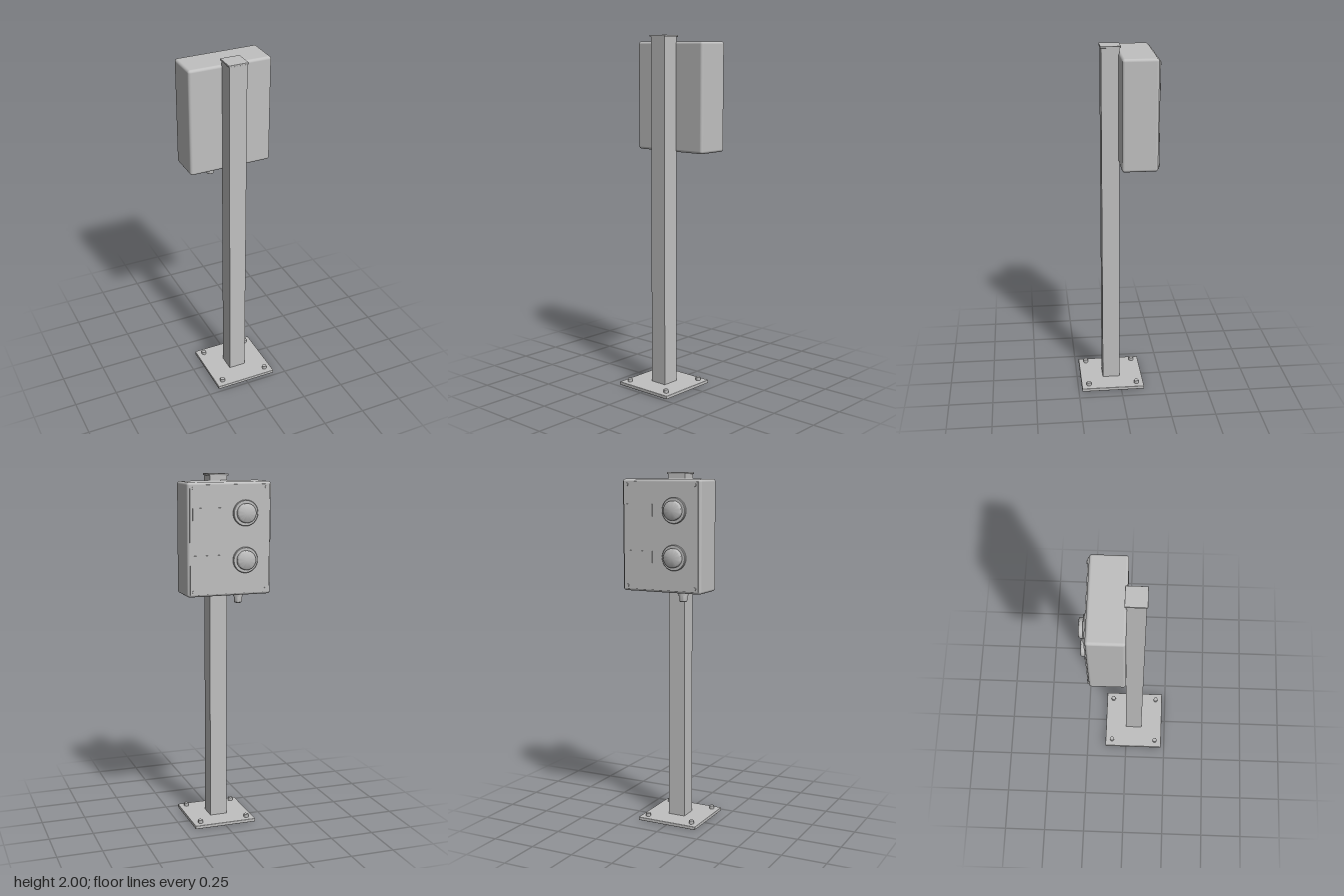
import * as THREE from 'three';
import { RoundedBoxGeometry } from 'three/addons/geometries/RoundedBoxGeometry.js';
import { toCreasedNormals } from 'three/addons/utils/BufferGeometryUtils.js';

export function createModel() {
  const model = new THREE.Group();
  const grey = new THREE.MeshStandardMaterial({ color: 0xc0c0c0 });
  grey.name = 'light grey';

  const add = (name, geometry, x, y, z) => {
    const mesh = new THREE.Mesh(geometry, grey);
    mesh.name = name;
    mesh.position.set(x, y, z);
    model.add(mesh);
    return mesh;
  };
  // Box given by its lower and upper limits, with optional rounded edges
  const block = (name, [x0, y0, z0], [x1, y1, z1], radius = 0) => {
    const size = [x1 - x0, y1 - y0, z1 - z0];
    const geometry = radius
      ? new RoundedBoxGeometry(...size, 4, radius)
      : new THREE.BoxGeometry(...size);
    return add(name, geometry, (x0 + x1) / 2, (y0 + y1) / 2, (z0 + z1) / 2);
  };
  const lathe = (points) => toCreasedNormals(
    new THREE.LatheGeometry(points.map(([r, y]) => new THREE.Vector2(r, y)), 40), 0.6);

  // Base plate with four hexagonal bolts
  block('basePlate', [-0.182, 0, -0.134], [0.182, 0.019, 0.23], 0.003);
  for (const x of [-0.14, 0.14]) {
    for (const z of [-0.092, 0.188]) {
      add('baseBolt', new THREE.CylinderGeometry(0.014, 0.014, 0.02, 6).toNonIndexed(), x, 0.028, z);
    }
  }

  // Square post and its cap
  block('post', [-0.05, 0.015, -0.002], [0.05, 1.992, 0.098]);
  block('postCap', [-0.056, 1.99, -0.009], [0.056, 2, 0.103], 0.002);

  // Enclosure mounted behind the post, with a thin cover
  block('enclosure', [-0.238, 1.355, -0.191], [0.238, 1.965, 0.004], 0.015);
  block('cover', [-0.225, 1.368, -0.197], [0.225, 1.952, -0.188]);

  // Cover screws
  for (const x of [-0.205, 0.205]) {
    for (const y of [1.385, 1.935]) {
      add('coverScrew', new THREE.CylinderGeometry(0.009, 0.009, 0.008, 20), x, y, -0.198)
        .rotation.x = -Math.PI / 2;
    }
  }

  // Two round sockets, each beside a label plate
  const socketGeometry = lathe([
    [0, 0], [0.07, 0], [0.07, 0.011], [0.067, 0.014], [0.052, 0.014],
    [0.052, 0.031], [0.05, 0.034], [0.047, 0.036], [0, 0.036],
  ]);
  for (const y of [1.8, 1.548]) {
    add('socket', socketGeometry, -0.085, y, -0.196).rotation.x = -Math.PI / 2;
    block('labelPlate', [0.048, y - 0.034, -0.201], [0.21, y + 0.031, -0.196]);
  }

  // Cable gland under the enclosure: hexagonal nut and domed collar
  add('glandNut', new THREE.CylinderGeometry(0.027, 0.027, 0.026, 6).toNonIndexed(), -0.085, 1.344, -0.088);
  add('glandCollar', lathe([
    [0, 1.305], [0.011, 1.305], [0.011, 1.297], [0.017, 1.297], [0.021, 1.301],
    [0.022, 1.307], [0.022, 1.334], [0, 1.334],
  ]), -0.085, 0, -0.088);

  return model;
}
